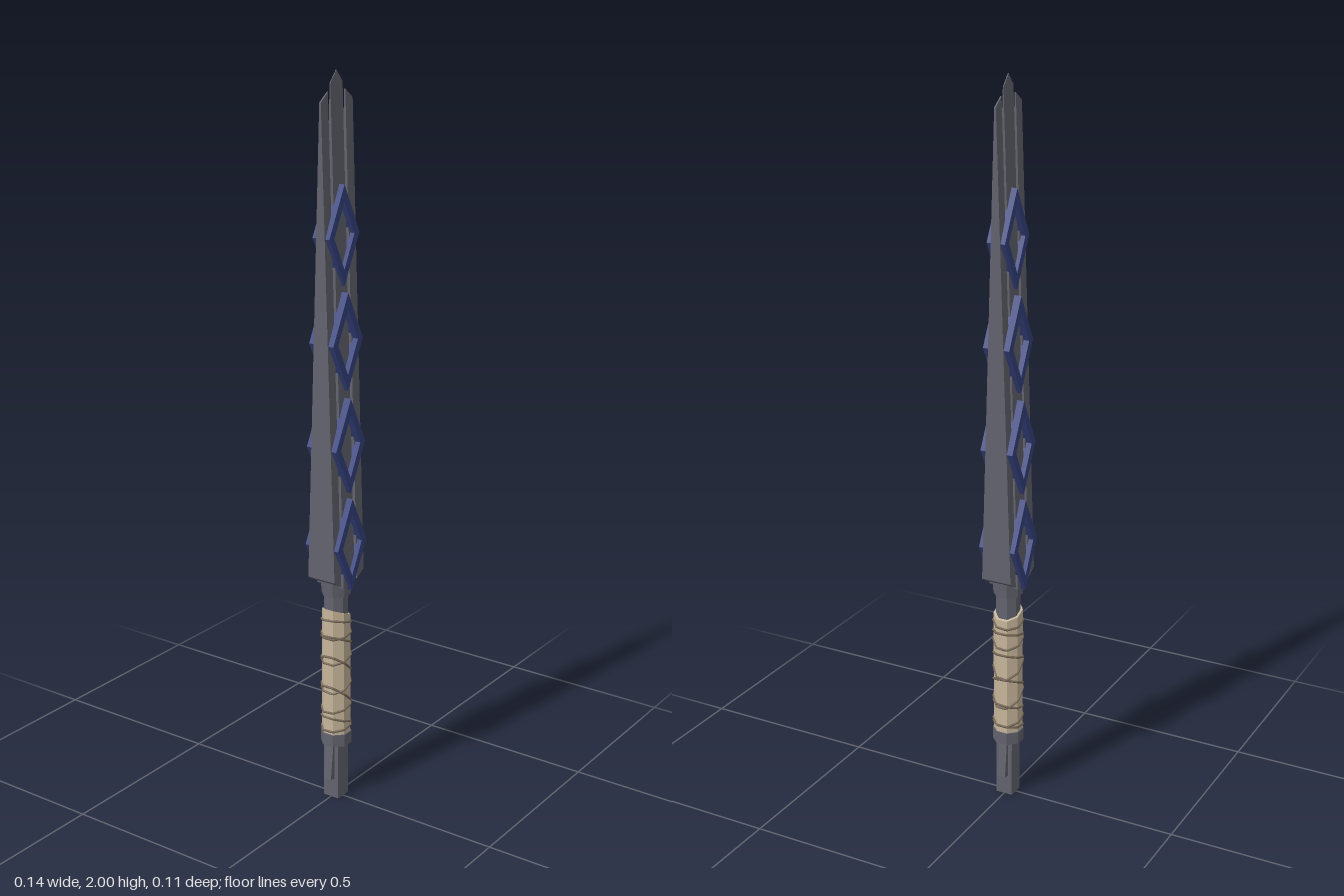
import * as THREE from 'three';

const mat = (name, color) => {
  const m = new THREE.MeshStandardMaterial({ color });
  m.name = name;
  return m;
};

export function createModel() {
  const root = new THREE.Group();
  root.name = 'bladedWeapon';
  const steel = mat('darkSteel', 0x63636f);
  const blue = mat('blueEnamel', 0x36427f);
  const cloth = mat('gripCloth', 0xc6b69b);
  const cordMat = mat('gripCord', 0x7a6c5a);

  const add = (name, geometry, material) => {
    const mesh = new THREE.Mesh(geometry, material);
    mesh.name = name;
    root.add(mesh);
    return mesh;
  };
  const outline = (pts) => new THREE.Shape(pts.map(([x, y]) => new THREE.Vector2(x, y)));
  const slab = (shape, halfDepth) => {
    const g = new THREE.ExtrudeGeometry(shape, { depth: halfDepth * 2, bevelEnabled: false });
    return g.translate(0, 0, -halfDepth);
  };

  // Blade tines: flat outlines whose thickness tapers to nothing at the tip
  const tine = (name, pts) => {
    const g = slab(outline(pts), 1);
    const p = g.attributes.position;
    for (let i = 0; i < p.count; i++) {
      const half = Math.max(0.001, 0.043 * Math.min(1, (2 - p.getY(i)) / 1.33));
      p.setZ(i, p.getZ(i) * half);
    }
    g.computeVertexNormals();
    add(name, g, steel);
  };
  tine('centreTine', [[-0.026, 0.64], [0.026, 0.64], [0.026, 1.97], [0, 2], [-0.026, 1.97]]);
  tine('leftTine', [[0.037, 0.65], [0.068, 0.67], [0.068, 1.927], [0.037, 1.95]]);
  tine('rightTine', [[-0.037, 1.95], [-0.068, 1.927], [-0.068, 0.67], [-0.037, 0.65]]);

  // Diamond frames that bind the tines together
  const diamond = (w, h) => [[0, -h], [w, 0], [0, h], [-w, 0]];
  [[0.76, 0.053], [1.035, 0.047], [1.315, 0.038], [1.59, 0.026]].forEach(([y, half], i) => {
    const shape = outline(diamond(0.066, 0.13));
    shape.holes.push(new THREE.Path(outline(diamond(0.044, 0.087)).getPoints().reverse()));
    add('diamondFrame' + (i + 1), slab(shape, half), blue).position.y = y;
  });

  // Eight-sided handle parts; radii are measured to the flat sides
  const prism = (name, rTop, rBottom, y0, y1, material) => {
    const k = 1 / Math.cos(Math.PI / 8);
    let g = new THREE.CylinderGeometry(rTop * k, rBottom * k, y1 - y0, 8);
    g.rotateY(Math.PI / 8).translate(0, (y0 + y1) / 2, 0);
    g = g.toNonIndexed();
    g.computeVertexNormals();
    return add(name, g, material);
  };
  prism('handleCore', 0.031, 0.031, 0.17, 0.65, steel);
  prism('bladeSocket', 0.041, 0.037, 0.61, 0.66, steel);
  prism('gripCollar', 0.04, 0.04, 0.165, 0.2, steel);

  // Cloth grip with a slanted upper edge
  const grip = prism('clothGrip', 0.037, 0.037, 0.2, 0.557, cloth).geometry;
  const gp = grip.attributes.position;
  for (let i = 0; i < gp.count; i++) {
    if (gp.getY(i) > 0.4) gp.setY(i, gp.getY(i) - gp.getX(i) * 0.4);
  }
  grip.computeVertexNormals();

  // Cords: tilted loops that hug the eight-sided grip
  const cords = [
    [0.53, -0.012, 0.004], [0.495, 0.008, 0], [0.475, -0.02, 0.003], [0.425, 0.014, 0],
    [0.4, -0.036, 0.004], [0.345, 0.02, -0.003], [0.31, -0.036, 0], [0.275, 0.01, 0.004],
    [0.235, -0.016, 0], [0.215, 0.006, 0.002],
  ];
  cords.forEach(([y, tiltX, tiltZ], n) => {
    const path = new THREE.CurvePath();
    const pts = [];
    for (let i = 0; i < 8; i++) {
      const a = Math.PI / 8 + (i * Math.PI) / 4;
      const r = 0.038 / Math.cos(Math.PI / 8);
      pts.push(new THREE.Vector3(Math.cos(a) * r, y + Math.cos(a) * tiltX + Math.sin(a) * tiltZ, Math.sin(a) * r));
    }
    pts.forEach((p, i) => path.add(new THREE.LineCurve3(p, pts[(i + 1) % 8])));
    add('gripCord' + (n + 1), new THREE.TubeGeometry(path, 32, 0.0035, 5, true), cordMat);
  });

  // Pommel: square block with a thin flared fin through it
  add('pommelBlock', new THREE.BoxGeometry(0.048, 0.17, 0.048), steel).position.y = 0.085;
  add('pommelFin', slab(outline([[-0.042, 0.062], [0, 0.054], [0.042, 0.062], [0.03, 0.168], [-0.03, 0.168]]), 0.012), steel);

  return root;
}
